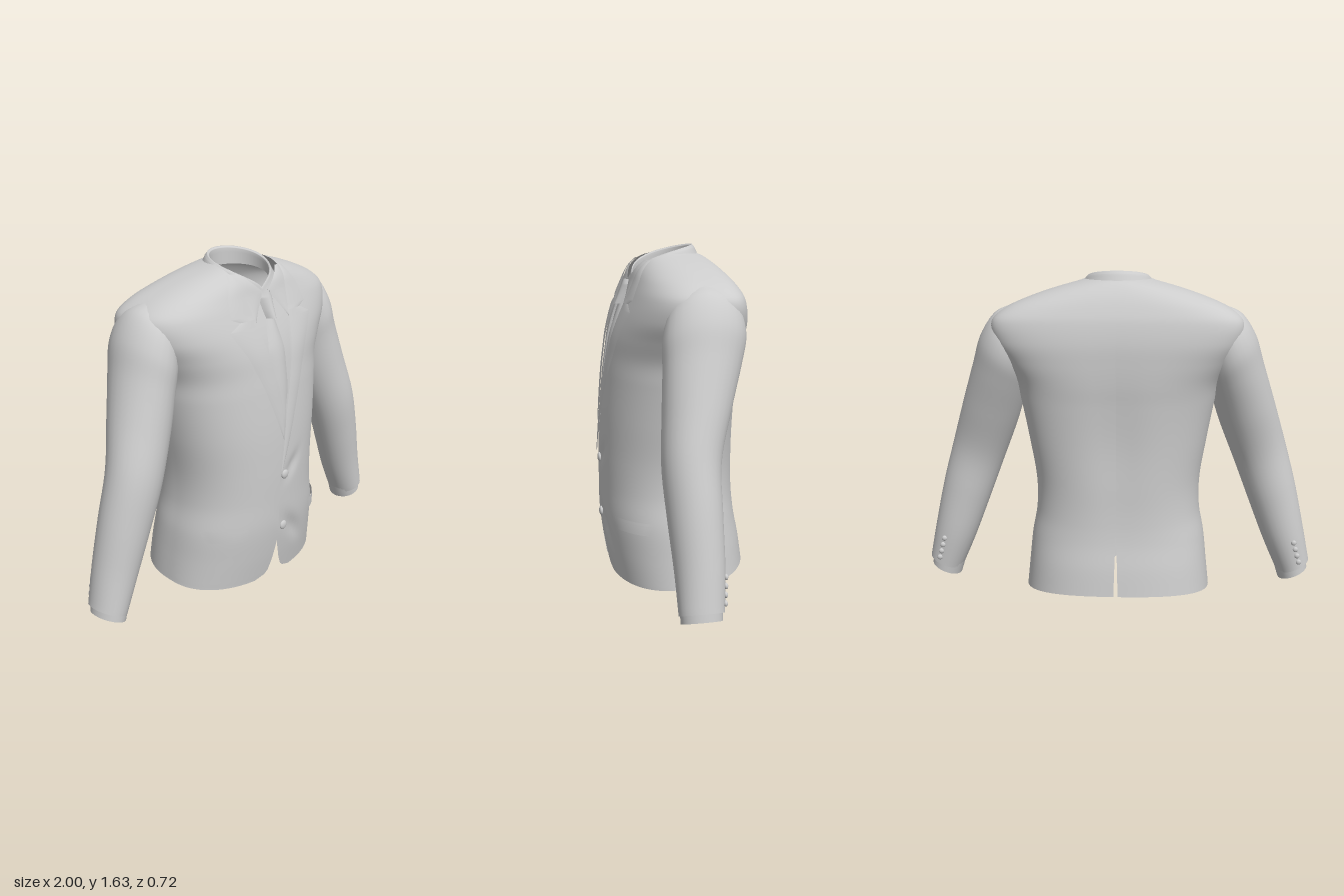
import * as THREE from 'three';

const cloth = new THREE.MeshStandardMaterial({ color: 0xcccccc, side: THREE.DoubleSide });
cloth.name = 'light grey cloth';

// Smooth interpolation of table rows keyed by their first entry
function sample(rows, y, c) {
  const n = rows.length;
  let i = 0;
  while (i < n - 2 && y > rows[i + 1][0]) i++;
  const slope = (k) => {
    const a = rows[Math.max(0, k - 1)], b = rows[Math.min(n - 1, k + 1)];
    return (b[c] - a[c]) / (b[0] - a[0]);
  };
  const a = rows[i], b = rows[i + 1], h = b[0] - a[0];
  const t = THREE.MathUtils.clamp((y - a[0]) / h, 0, 1), t2 = t * t, t3 = t2 * t;
  return (2 * t3 - 3 * t2 + 1) * a[c] + (t3 - 2 * t2 + t) * h * slope(i)
    + (3 * t2 - 2 * t3) * b[c] + (t3 - t2) * h * slope(i + 1);
}

function linear(rows, y, c) {
  let i = 0;
  while (i < rows.length - 2 && y > rows[i + 1][0]) i++;
  const a = rows[i], b = rows[i + 1];
  const t = THREE.MathUtils.clamp((y - a[0]) / (b[0] - a[0]), 0, 1);
  return a[c] + (b[c] - a[c]) * t;
}

// Smooth surface over a grid, optionally closed around u; flip turns its face
function surface(name, nu, nv, fn, { closed = false, flip = false } = {}) {
  const pos = [], idx = [], cols = closed ? nu : nu + 1;
  for (let j = 0; j <= nv; j++)
    for (let i = 0; i < cols; i++) pos.push(...fn(i / nu, j / nv));
  for (let j = 0; j < nv; j++)
    for (let i = 0; i < nu; i++) {
      const k = (i + 1) % cols;
      const a = j * cols + i, b = j * cols + k, c = a + cols, d = (j + 1) * cols + k;
      if (flip) idx.push(a, d, b, a, c, d);
      else idx.push(a, b, d, a, d, c);
    }
  const g = new THREE.BufferGeometry();
  g.setAttribute('position', new THREE.Float32BufferAttribute(pos, 3));
  g.setIndex(idx);
  g.computeVertexNormals();
  const m = new THREE.Mesh(g, cloth);
  m.name = name;
  return m;
}

// Torso sections: height, half width, front z, back z, side z, front and back roundness
const BODY = [
  [0, .47, .31, -.35, 0, 2.2, 2.5], [.15, .455, .335, -.332, 0, 2.2, 2.5], [.3, .44, .352, -.308, .01, 2.2, 2.5],
  [.45, .415, .355, -.296, .01, 2.2, 2.5], [.6, .415, .355, -.293, .01, 2.2, 2.5], [.8, .445, .347, -.29, 0, 2.2, 2.6],
  [1, .48, .328, -.295, -.02, 2.2, 2.7], [1.1, .5, .314, -.3, -.03, 2.2, 2.9], [1.2, .55, .295, -.3, -.04, 2.3, 3.3],
  [1.3, .6, .262, -.295, -.045, 2.5, 3.8], [1.4, .605, .222, -.275, -.05, 2.6, 4], [1.46, .535, .2, -.25, -.05, 2.5, 3.6],
  [1.51, .42, .185, -.222, -.04, 2.3, 3], [1.55, .3, .165, -.19, -.02, 2.2, 2.6], [1.58, .19, .145, -.155, .01, 2.2, 2.2],
  [1.592, .156, .13, -.122, .03, 2.2, 2],
];
const TOP = 1.592;
// Front edges of the two panels: height, left x, right x
const EDGE = [
  [0, .09, -.16], [.015, .04, -.105], [.04, .012, -.08], [.1, -.015, -.063], [.2, -.045, -.045], [.6, -.045, -.045],
  [.88, 0, -.01], [1.25, .095, -.1], [1.4, .13, -.135], [1.57, .168, -.168],
];

function frontZ(x, y) {
  const w = sample(BODY, y, 1), zc = sample(BODY, y, 4), n = sample(BODY, y, 5);
  const r = Math.min(1, Math.abs(x) / w);
  return zc + (sample(BODY, y, 2) - zc) * Math.pow(1 - Math.pow(r, n), 1 / n);
}

// Soft dent centred at x, y, turned by an angle, with two radii
function dent(x, y, cx, cy, turn, ra, rb) {
  const a = (x - cx) * Math.cos(turn) + (y - cy) * Math.sin(turn);
  const b = (y - cy) * Math.cos(turn) - (x - cx) * Math.sin(turn);
  return Math.exp(-((a / ra) ** 2) - ((b / rb) ** 2));
}

function bodyPoint(angle, y) {
  const s = Math.sin(angle), c = Math.cos(angle), n = sample(BODY, y, c > 0 ? 5 : 6);
  const w = sample(BODY, y, 1), zc = sample(BODY, y, 4);
  const x = w * Math.sign(s) * Math.pow(Math.abs(s), 2 / n);
  let z = zc + (sample(BODY, y, c > 0 ? 2 : 3) - zc) * Math.pow(Math.abs(c), 2 / n);
  // Shallow hollow along the spine, and pull folds beside the buttons
  if (c < 0) z += .016 * dent(x, y, 0, .8, 0, .12, .35);
  else z -= .016 * dent(x, y, .07, .25, -.85, .11, .035) + .012 * dent(x, y, .05, .6, .9, .07, .03);
  const lift = .07 * Math.pow((1 - c) / 2, 1.6) * Math.max(0, 1 - y / .4);
  return [x, y + lift, z];
}

// Half of the jacket body, from front edge to back vent
function panel(name, side) {
  return surface(name, 64, 100, (u, v) => {
    const y = TOP * (1 - Math.pow(1 - v, 1.2));
    const x = side * linear(EDGE, y, side > 0 ? 1 : 2);
    const r = Math.min(.999, Math.abs(x) / sample(BODY, y, 1));
    const a0 = Math.sign(x) * Math.asin(Math.pow(r, sample(BODY, y, 5) / 2));
    const vent = y < .34 ? .0008 + .008 * (1 - y / .34) : 0;
    return bodyPoint(side * (a0 + (Math.PI - vent - a0) * u), y);
  }, { flip: side < 0 });
}

// Cloth piece lying on the front; rows hold height and the two x limits
function patch(name, rows, offset, bulge = 0, side = 1) {
  const n = 8;
  return surface(name, 10, (rows.length - 1) * n, (u, v) => {
    const f = v * (rows.length - 1), i = Math.min(rows.length - 2, Math.floor(f)), t = f - i;
    const mix = (c) => rows[i][c] + (rows[i + 1][c] - rows[i][c]) * t;
    const y = mix(0), x = mix(1) + (mix(2) - mix(1)) * u;
    return [side * x, y, frontZ(x, y) + offset + bulge * (1 - (2 * u - 1) ** 2)];
  }, { flip: side < 0 });
}

// Sleeve sections: key, outer x, outer y, inner x, inner y, front z, back z
const SLEEVE = [
  [0, .998, .135, .835, .065, .155, -.045], [1, .96, .32, .758, .24, .162, -.06],
  [2, .91, .55, .68, .44, .178, -.065], [3, .85, .77, .6, .65, .188, -.075],
  [4, .785, .98, .51, .88, .17, -.14], [5, .72, 1.18, .46, 1.04, .155, -.2],
  [6, .675, 1.32, .44, 1.12, .15, -.23], [7, .605, 1.425, .43, 1.19, .125, -.222],
  [8, .52, 1.468, .41, 1.24, .08, -.18],
];
function sleevePoint(angle, k, scale = 1) {
  const [ox, oy, ix, iy, zf, zb] = [1, 2, 3, 4, 5, 6].map((c) => sample(SLEEVE, k, c));
  const c = Math.cos(angle) * scale * .5, s = Math.sin(angle) * scale * .5;
  return [(ox + ix) / 2 + (ox - ix) * c, (oy + iy) / 2 + (oy - iy) * c, (zf + zb) / 2 + (zf - zb) * s];
}

function button(name, p, r, depth) {
  const m = new THREE.Mesh(new THREE.SphereGeometry(r, 14, 10), cloth);
  m.scale.z = depth;
  m.position.set(...p);
  m.name = name;
  return m;
}

function arm(side) {
  const g = new THREE.Group();
  g.name = side > 0 ? 'leftSleeve' : 'rightSleeve';
  const tau = Math.PI * 2;
  const add = (name, fn, nv, flip) => g.add(surface(name, 28, nv, (u, v) => {
    const p = fn(u * tau, v);
    return [side * p[0], p[1], p[2]];
  }, { closed: true, flip }));
  add('sleeve', (a, v) => sleevePoint(a, v * 8), 48, side > 0);
  add('cuffRim', (a, v) => sleevePoint(a, 0, 1 - .1 * v), 1, side < 0);
  // Shirt cuff showing a little below the sleeve
  add('shirtCuff', (a, v) => {
    const p = sleevePoint(a, v * .6, .91);
    return [p[0], p[1] - .038 * (1 - v), p[2]];
  }, 4, side > 0);
  for (let i = 0; i < 4; i++) {
    const p = sleevePoint(-1.25, .2 + i * .2, 1.02);
    g.add(button('cuffButton', [side * p[0], p[1], p[2]], .014, .7));
  }
  return g;
}

// Standing collar, low at the throat and high at the nape: step, flare, drop
const COLLAR = [[0, -.006, -.09], [1, -.006, -.01], [2, .004, 0], [3, .016, -.015], [4, .032, -.05], [5, .06, -.1]];
function collar() {
  return surface('collar', 48, 20, (u, v) => {
    const a = u * Math.PI * 2, back = (1 - Math.cos(a)) / 2;
    const flare = linear(COLLAR, v * 5, 1) * (.3 + .7 * Math.min(1, back * 2));
    const drop = linear(COLLAR, v * 5, 2) * (.5 + .5 * back);
    return [Math.sin(a) * (.148 + flare), 1.48 + .152 * Math.pow(back, .4) + drop, .035 + Math.cos(a) * (.145 + flare)];
  }, { closed: true, flip: true });
}

export function createModel() {
  const model = new THREE.Group();
  model.name = 'suitJacket';
  model.add(panel('leftPanel', 1), panel('rightPanel', -1), arm(1), arm(-1), collar());

  // Shirt and tie inside the opening
  model.add(patch('shirtFront', [[.55, -.14, .1], [.88, -.15, .15], [1.25, -.2, .2], [1.46, -.2, .2]], -.022));
  model.add(patch('tieBlade', [[.8, -.045, .02], [1, -.06, .045], [1.2, -.06, .05], [1.37, -.025, .025]], -.011, .013));
  model.add(patch('tieKnot', [[1.345, -.028, .028], [1.38, -.035, .035], [1.44, -.045, .045], [1.465, -.03, .03]], -.008, .035));

  for (const side of [1, -1]) {
    // Folded shirt collar points
    model.add(patch('shirtCollarPoint',
      [[1.33, .12, .125], [1.4, .07, .15], [1.465, .018, .165], [1.56, .13, .168]], .004, .004, side));
    // Notched lapel with the jacket collar above it
    const low = side > 0 ? [[.6, -.045, -.038], [.88, 0, .065]] : [[.76, .02, .025], [.88, .01, .07]];
    model.add(patch('lapel', [...low, [1.05, .045, .135], [1.2, .085, .205], [1.325, .113, .285], [1.36, .118, .21]], .009, .003, side));
    model.add(patch('jacketCollar', [[1.36, .118, .21], [1.38, .125, .26], [1.47, .145, .24], [1.56, .165, .187]], .009, .003, side));
    // Hip pocket flap
    model.add(patch('pocketFlap', [[.275, .24, .4], [.32, .235, .408], [.335, .235, .408]], .009, .004, side));
  }

  // Front buttons
  for (const y of [.57, .285]) model.add(button('frontButton', [-.01, y, frontZ(0, y)], .024, .45));
  return model;
}
